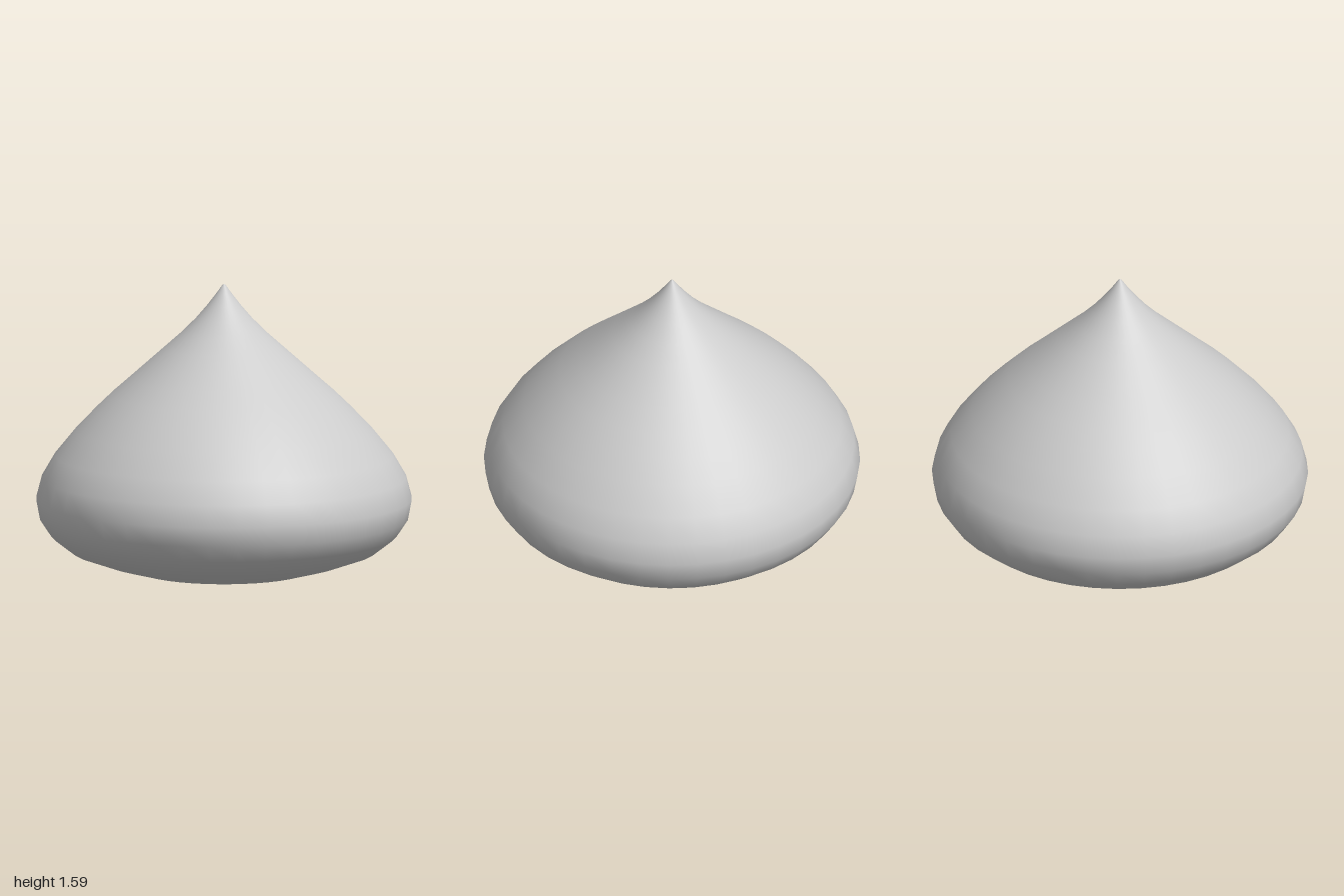
import * as THREE from 'three';

// Teardrop body: one profile turned about the y axis
export function createModel() {
  const group = new THREE.Group();
  group.name = 'teardrop';

  // Radius and height, from the underside up to the tip
  const profile = [
    [0, 0], [0.22, 0.01], [0.45, 0.045], [0.64, 0.095], [0.81, 0.155],
    [0.92, 0.24], [0.98, 0.33], [1, 0.435], [0.97, 0.55], [0.9, 0.67],
    [0.79, 0.805], [0.69, 0.91], [0.6, 0.997], [0.5, 1.085], [0.41, 1.165],
    [0.32, 1.245], [0.23, 1.325], [0.15, 1.405], [0.09, 1.475],
    [0.04, 1.54], [0.012, 1.58], [0, 1.59],
  ].map(([r, y]) => new THREE.Vector2(r, y));

  const body = new THREE.Mesh(
    new THREE.LatheGeometry(profile, 40),
    new THREE.MeshStandardMaterial({ color: 0xcccccc })
  );
  body.name = 'body';
  group.add(body);
  return group;
}
